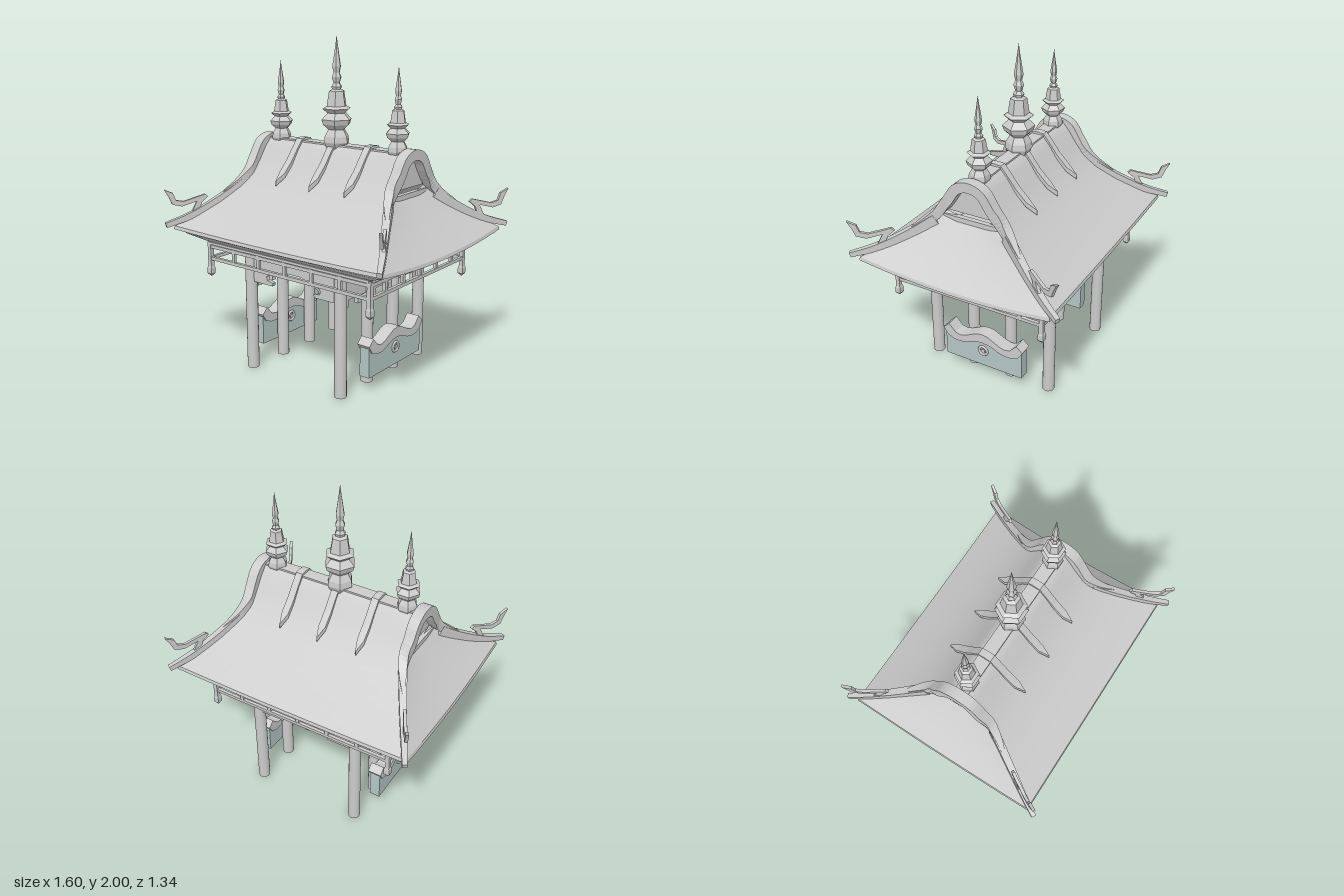
import * as THREE from 'three';

const grey = new THREE.MeshStandardMaterial({ color: 0xcccccc, side: THREE.DoubleSide });
const flat = new THREE.MeshStandardMaterial({ color: 0xcccccc, side: THREE.DoubleSide, flatShading: true });
const panelMat = new THREE.MeshStandardMaterial({ color: 0xb4c6c4 });

// Roof slope from ridge to eave: [half length x, height y, half depth z]
const slope = [
  [0.5, 1.365, 0], [0.5, 1.36, 0.04], [0.5, 1.315, 0.08], [0.5, 1.24, 0.13], [0.51, 1.165, 0.19],
  [0.555, 1.085, 0.27], [0.625, 1.0, 0.38], [0.7, 0.925, 0.5], [0.77, 0.865, 0.605],
];
const DIP_FRONT = 0.01, DIP_SIDE = 0.04, N = 16;

export function createModel() {
  const root = new THREE.Group();
  const add = (name, geo, mat = flat, x = 0, y = 0, z = 0, parent = root) => {
    const m = new THREE.Mesh(geo, mat);
    m.name = name;
    m.position.set(x, y, z);
    parent.add(m);
    return m;
  };
  const box = (name, w, h, d, x, y, z, mat = flat) => add(name, new THREE.BoxGeometry(w, h, d), mat, x, y, z);

  // Surface through rows of points
  const grid = (rows) => {
    const c = rows[0].length, idx = [];
    for (let i = 0; i < rows.length - 1; i++)
      for (let j = 0; j < c - 1; j++) {
        const a = i * c + j, b = a + c;
        idx.push(a, b, a + 1, a + 1, b, b + 1);
      }
    const g = new THREE.BufferGeometry();
    g.setAttribute('position', new THREE.Float32BufferAttribute(rows.flat(2), 3));
    g.setIndex(idx);
    g.computeVertexNormals();
    return g;
  };
  const span = (f) => Array.from({ length: N + 1 }, (_, i) => f((i / N) * 2 - 1));

  // Rectangular bar swept along a path, kept level across its width
  const sweep = (pts, width, height) => {
    const curve = new THREE.CatmullRomCurve3(pts.map((p) => new THREE.Vector3(...p)));
    const n = pts.length * 4, rows = [];
    for (let i = 0; i <= n; i++) {
      const t = i / n, p = curve.getPoint(t), T = curve.getTangent(t);
      const S = new THREE.Vector3(T.z, 0, -T.x).normalize();
      const U = new THREE.Vector3().crossVectors(T, S).normalize();
      const w = width(t) / 2, h = height(t) / 2;
      rows.push([[1, 1], [-1, 1], [-1, -1], [1, -1], [1, 1]].map(([a, b]) =>
        p.clone().addScaledVector(S, a * w).addScaledVector(U, b * h).toArray()));
    }
    const mid = (r) => r.map(() => [0, 1, 2].map((k) => (r[0][k] + r[2][k]) / 2));
    return grid([mid(rows[0]), ...rows, mid(rows[n])]);
  };

  // Long roof slopes and hipped end skirts
  for (const s of [1, -1]) {
    add('mainRoofSlope', grid(slope.map(([x, y, z], k) =>
      span((u) => [u * x, y - DIP_FRONT * (k / 8) ** 2 * (1 - u * u), s * z]))), grey);
    add('endRoofSkirt', grid(slope.slice(4).map(([x, y, z], k) =>
      span((u) => [s * (k ? x : 0.5), y - (0.035 * (1 - k / 4) + DIP_SIDE * (k / 4) ** 2) * (1 - u * u), u * z]))), grey);
    // Gable wall and its sill
    const half = slope.slice(0, 5);
    const gable = new THREE.Shape([...half.map((p) => [p[2], p[1]]), ...half.slice(1).reverse().map((p) => [-p[2], p[1]])]
      .map(([a, b]) => new THREE.Vector2(a, b)));
    gable.closePath();
    add('gableWall', new THREE.ShapeGeometry(gable), flat, s * 0.505).rotation.y = -Math.PI / 2;
    box('gableSill', 0.03, 0.03, 0.38, s * 0.505, 1.125, 0);

    // Arched gable band
    const arm = [[0.53, 1.36, 0], [0.53, 1.335, 0.075], [0.53, 1.25, 0.135], [0.53, 1.165, 0.2], [0.56, 1.1, 0.27], [0.61, 1.05, 0.345]];
    const arch = [...arm.slice(1).reverse().map(([x, y, z]) => [s * x, y, -z]), ...arm.map(([x, y, z]) => [s * x, y, z])];
    add('gableBand', sweep(arch, (t) => 0.065 - 0.05 * Math.abs(2 * t - 1) ** 3, (t) => 0.06 - 0.045 * Math.abs(2 * t - 1) ** 6), flat);

    // Hip ridges and hooked finials at the corners
    for (const f of [1, -1]) {
      const put = (pts) => pts.map(([x, y, z]) => [s * x, y, f * z]);
      add('hipRidge', sweep(put([[0.54, 1.11, 0.23], [0.59, 1.045, 0.32], [0.66, 0.97, 0.44], [0.725, 0.915, 0.55], [0.788, 0.877, 0.66]]),
        (t) => 0.05 - 0.022 * t, (t) => 0.06 - 0.03 * t));
      const hook = new THREE.Shape([[0.49, 0.92], [0.53, 0.92], [0.49, 1.01], [0.57, 0.985], [0.62, 1.0], [0.638, 1.05],
        [0.66, 1.095], [0.615, 1.07], [0.6, 1.025], [0.56, 1.015], [0.445, 1.05], [0.43, 1.035], [0.465, 1.0]]
        .map(([z, y]) => new THREE.Vector2(z - 0.5, y)));
      const g = new THREE.ExtrudeGeometry(hook, { depth: 0.018, bevelEnabled: false });
      g.translate(0, 0, -0.009).scale(1.15, 1, 1);
      add('cornerHook', g, flat, s * 0.7, 0, f * 0.5).rotation.y = Math.atan2(-f * 0.866, s * 0.5);
    }
  }
  box('ridgeCap', 1.0, 0.02, 0.08, 0, 1.36, 0);

  // Stepped eave underside and ceiling: [half x, half z, y, dip share]
  const rings = [[0.77, 0.605, 0.865, 1], [0.775, 0.61, 0.845, 1], [0.73, 0.575, 0.84, 0.9], [0.72, 0.565, 0.82, 0.5],
    [0.62, 0.495, 0.775, 0], [0.6, 0.475, 0.765, 0], [0.001, 0.001, 0.765, 0]];
  const sides = [[1, 0, 0, 1], [0, -1, 1, 0], [-1, 0, 0, -1], [0, 1, -1, 0]];
  add('eaveUnderside', grid(rings.map(([hx, hz, y, d]) => sides.flatMap(([ux, uz, cx, cz]) =>
    span((u) => [hx * (ux * u + cx), y - d * (cx ? DIP_SIDE : DIP_FRONT) * (1 - u * u), hz * (uz * u + cz)])))));

  // Pointed straps folded over the ridge
  for (const x of [-0.255, 0, 0.255]) {
    const half = [[0, 1.385, 0.022], [0.04, 1.38, 0.022], [0.085, 1.325, 0.022], [0.135, 1.26, 0.022], [0.2, 1.195, 0.022], [0.26, 1.15, 0.001]];
    const line = [...half.slice(1).reverse().map(([z, y, w]) => [-z, y, w]), ...half];
    add('ridgeStrap', grid(line.map(([z, y, w]) =>
      [[-w, y - 0.03, z], [-w, y, z], [w, y, z], [w, y - 0.03, z]])), flat, x);
  }

  // Six-sided spires
  const spire = [[0.001, 0], [0.055, 0], [0.08, 0.05], [0.075, 0.085], [0.052, 0.125], [0.085, 0.155], [0.095, 0.185], [0.065, 0.215],
    [0.058, 0.222], [0.088, 0.248], [0.062, 0.262], [0.048, 0.35], [0.028, 0.36], [0.033, 0.375], [0.02, 0.395], [0.03, 0.43],
    [0.019, 0.455], [0.027, 0.49], [0.008, 0.61], [0, 0.67]].map(([r, y]) => new THREE.Vector2(r, y));
  for (const [x, k] of [[0, 1], [-0.435, 0.765], [0.435, 0.765]]) {
    const m = add('spire', new THREE.LatheGeometry(spire, 6, Math.PI / 6), flat, x, 1.33, 0);
    m.scale.setScalar(k);
  }

  // Hanging lattice frieze with corner pendants
  const pendant = [[0, 0], [0.016, 0.012], [0.024, 0.02], [0.024, 0.055], [0.018, 0.065], [0.018, 0.22]]
    .map(([r, y]) => new THREE.Vector2(r, y));
  for (const s of [1, -1]) {
    for (const y of [0.665, 0.74]) {
      box('friezeRail', 1.2, 0.02, 0.02, 0, y, s * 0.477);
      box('friezeRail', 0.02, 0.02, 0.954, s * 0.6, y, 0);
    }
    for (let i = -2; i <= 2; i++) {
      box('friezeUpright', 0.022, 0.11, 0.018, i * 0.2, 0.71, s * 0.477);
      box('friezeUpright', 0.018, 0.11, 0.022, s * 0.6, 0.71, i * 0.17);
    }
    box('friezeTop', 1.2, 0.015, 0.03, 0, 0.762, s * 0.477);
    box('friezeTop', 0.03, 0.015, 0.954, s * 0.6, 0.762, 0);
    for (const f of [1, -1])
      add('cornerPendant', new THREE.LatheGeometry(pendant, 4, Math.PI / 4), flat, s * 0.6, 0.548, f * 0.477);
  }

  // Columns, side beams with small brackets
  for (const s of [1, -1]) {
    for (const [x, z] of [[0.34, 0.395], [0.33, 0.13], [0.33, -0.13], [0.34, -0.395]])
      add('column', new THREE.CylinderGeometry(0.036, 0.036, 0.77, 16), grey, s * x, 0.385, z);
    box('sideBeam', 0.025, 0.205, 0.74, s * 0.33, 0.6625, 0);
    for (const z of [0.345, 0.22, 0.08, -0.08, -0.22, -0.345])
      box('beamBracket', 0.025, 0.05, 0.035, s * 0.33, 0.54, z);
  }

  // Arched panels across front and back
  const arc = [[0.32, 0.765], [0.32, 0.555], [0.16, 0.555], [0.155, 0.575], [0.2, 0.582], [0.205, 0.605], [0.18, 0.625], [0.14, 0.635], [0.09, 0.64], [0.07, 0.655]];
  const arched = new THREE.Shape([...arc, ...arc.slice().reverse().map(([x, y]) => [-x, y])].map(([x, y]) => new THREE.Vector2(x, y)));
  for (const z of [0.395, -0.395])
    add('archedPanel', new THREE.ExtrudeGeometry(arched, { depth: 0.025, bevelEnabled: false }), flat, 0, 0, z - 0.0125);

  // Side parapets with wavy caps and round medallions
  const top = [[0, 0.325], [0.035, 0.32], [0.08, 0.298], [0.12, 0.277], [0.155, 0.268], [0.19, 0.276], [0.235, 0.325]];
  const low = [[0.275, 0.287], [0.245, 0.24], [0.2, 0.222], [0.155, 0.22], [0.11, 0.23], [0.07, 0.25], [0.035, 0.26], [0, 0.262]];
  const mirrored = (h) => [...h, ...h.slice(1, -1).reverse().map(([a, b]) => [-a, b])].map(([a, b]) => new THREE.Vector2(a, b));
  const cap = new THREE.Shape(mirrored([...top, ...low]));
  const body = new THREE.Shape(mirrored([[0, 0.09], [0.264, 0.09], [0.264, 0.27], ...low.slice(1)]));
  for (const s of [1, -1]) {
    const slab = (name, shape, depth, mat) => {
      const g = new THREE.ExtrudeGeometry(shape, { depth, bevelEnabled: false }).translate(0, 0, -depth / 2);
      add(name, g, mat, s * 0.41).rotation.y = Math.PI / 2;
    };
    slab('parapetPanel', body, 0.065, panelMat);
    slab('parapetCap', cap, 0.085, flat);
    for (const o of [1, -1]) {
      const x = s * 0.41 + o * 0.033;
      add('medallionRing', new THREE.TorusGeometry(0.028, 0.009, 6, 16), grey, x, 0.2, 0).rotation.y = Math.PI / 2;
      add('medallionCentre', new THREE.CylinderGeometry(0.014, 0.014, 0.012, 8), flat, x, 0.2, 0).rotation.z = Math.PI / 2;
    }
  }
  return root;
}
